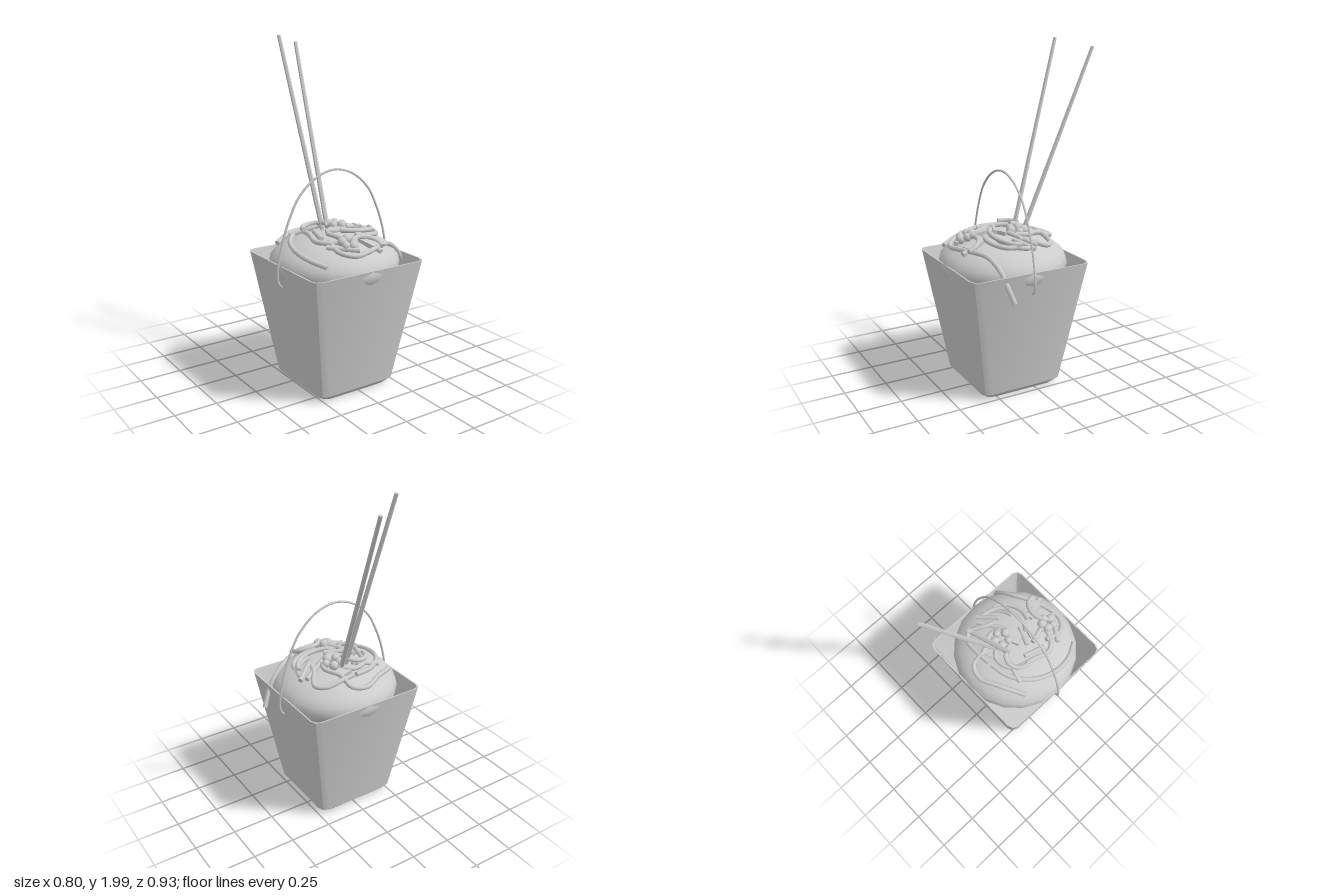
import * as THREE from 'three';
import { toCreasedNormals } from 'three/addons/utils/BufferGeometryUtils.js';

const CX = -0.015, CZ = 0.087; // centre of the carton
const DOME = { y: 0.74, r: 0.376, h: 0.17 };
const NOODLE = 0.0145;

const grey = new THREE.MeshStandardMaterial({ color: 0xcccccc });
grey.name = 'plain grey';

function add(parent, name, geometry) {
  const mesh = new THREE.Mesh(geometry, grey);
  mesh.name = name;
  parent.add(mesh);
  return mesh;
}

// Point lying a little above the food mound
function onMound(x, z, lift) {
  const d = Math.hypot(x - CX, z - CZ) / DOME.r;
  const y = DOME.y + DOME.h * Math.sqrt(Math.max(0, 1 - d * d));
  return new THREE.Vector3(x, y + lift, z);
}

// Square carton with rounded corners: outside up, over the rim, inside down
function cartonGeometry() {
  const rings = [ // y, half width, corner radius
    [0.008, 0.225, 0.05], [0.04, 0.256, 0.05], [0.77, 0.37, 0.045],
    [0.77, 0.362, 0.04], [0.045, 0.248, 0.042]];
  const n = 12, pos = [], idx = [];
  for (const [y, half, r] of rings) {
    for (let c = 0; c < 4; c++) for (let k = 0; k < 3; k++) {
      const q = c * Math.PI / 2, a = q + k * Math.PI / 4, m = (half - r) * Math.SQRT2;
      pos.push(CX + m * Math.cos(q + Math.PI / 4) + r * Math.cos(a), y,
        CZ + m * Math.sin(q + Math.PI / 4) + r * Math.sin(a));
    }
  }
  for (let i = 0; i < rings.length - 1; i++) for (let j = 0; j < n; j++) {
    const a = i * n + j, b = i * n + (j + 1) % n;
    idx.push(a, a + n, b, b, a + n, b + n);
  }
  const last = (rings.length - 1) * n;
  for (let j = 1; j < n - 1; j++) {
    idx.push(0, j, j + 1); // underside
    idx.push(last, last + j + 1, last + j); // inner floor
  }
  const g = new THREE.BufferGeometry();
  g.setAttribute('position', new THREE.Float32BufferAttribute(pos, 3));
  g.setIndex(idx);
  return toCreasedNormals(g, 0.5);
}

// Capped tube through points
function strand(parent, name, points, radius, sides = 8) {
  const group = new THREE.Group();
  group.name = name;
  const curve = new THREE.CatmullRomCurve3(points);
  add(group, name + 'Body', new THREE.TubeGeometry(curve, points.length * 4, radius, sides));
  for (const t of [0, 1]) {
    const cap = add(group, name + 'End', new THREE.CircleGeometry(radius, sides));
    const dir = curve.getTangent(t).multiplyScalar(t ? 1 : -1);
    cap.position.copy(curve.getPoint(t));
    cap.quaternion.setFromUnitVectors(new THREE.Vector3(0, 0, 1), dir);
  }
  parent.add(group);
}

function addNoodles(model) {
  // Curled noodles: centre x and z, radii in x and z, start and end in degrees, lift
  const curls = [
    [-0.03, 0.17, 0.28, 0.29, -90, -220, 0.01],
    [0.08, 0.07, 0.15, 0.13, 10, 135, 0.03],
    [0.09, 0.12, 0.14, 0.12, 5, 115, 0.02],
    [0.1, 0.05, 0.14, 0.13, 0, 85, 0.012],
    [-0.105, 0.03, 0.075, 0.08, 180, 360, 0.04],
    [0.03, 0.35, 0.09, 0.075, 200, 370, 0.03]];
  for (const [x, z, rx, rz, from, to, lift] of curls) {
    const pts = [];
    for (let i = 0; i <= 6; i++) {
      const a = THREE.MathUtils.degToRad(from + (to - from) * i / 6);
      pts.push(onMound(x + rx * Math.cos(a), z + rz * Math.sin(a), lift));
    }
    strand(model, 'curledNoodle', pts, NOODLE);
  }

  // Winding noodles
  const winding = [
    [[-0.29, -0.09], [-0.15, -0.17], [-0.03, -0.22], [0.05, -0.19], [0.06, -0.1], [0.11, 0], [0.09, 0.06]],
    [[-0.01, -0.125], [0.09, -0.13], [0.175, -0.12], [0.22, -0.07], [0.17, 0.02], [0.15, 0.07]],
    [[0.03, -0.03], [-0.03, -0.08], [-0.13, -0.05], [-0.18, 0.09], [-0.2, 0.18], [-0.17, 0.23], [-0.05, 0.28]]];
  for (const path of winding) {
    strand(model, 'windingNoodle', path.map(([x, z]) => onMound(x, z, 0.018)), NOODLE);
  }

  // Short straight noodles: x and z of both ends
  const short = [
    [-0.22, -0.07, -0.06, -0.03], [0.26, 0.025, 0.15, 0.11], [-0.09, 0.11, 0.02, 0.155],
    [-0.1, 0.145, -0.07, 0.24], [-0.165, 0.18, -0.13, 0.05], [0.23, 0, 0.06, 0.09],
    [0.09, 0.39, 0.04, 0.22], [-0.19, 0.265, -0.04, 0.37]];
  for (const [x0, z0, x1, z1] of short) {
    strand(model, 'shortNoodle', [onMound(x0, z0, 0.02), onMound(x1, z1, 0.02)], NOODLE);
  }

  // Long noodle that pokes out through the carton wall
  const long = [[-0.14, 0.22], [-0.15, 0.33], [-0.08, 0.39], [0, 0.385], [0.11, 0.345], [0.21, 0.295]]
    .map(([x, z]) => onMound(x, z, 0.014));
  long.push(new THREE.Vector3(0.3, 0.79, 0.265), new THREE.Vector3(0.35, 0.715, 0.25),
    new THREE.Vector3(0.39, 0.63, 0.228));
  strand(model, 'longNoodle', long, NOODLE);
}

export function createModel() {
  const model = new THREE.Group();
  model.name = 'noodleBox';
  add(model, 'carton', cartonGeometry());

  // Mound of food
  const mound = add(model, 'mound', new THREE.SphereGeometry(1, 20, 14));
  mound.scale.set(DOME.r, DOME.h, DOME.r);
  mound.position.set(CX, DOME.y, CZ);
  addNoodles(model);

  // Wire handle with hooked ends
  const half = [[0.33, 0.64], [0.36, 0.648], [0.378, 0.69], [0.368, 0.79], [0.34, 0.91],
    [0.295, 1.03], [0.235, 1.14], [0.125, 1.235]];
  const arc = [...half, [0, 1.27], ...half.slice().reverse().map(([x, y]) => [-x, y])];
  strand(model, 'handle', arc.map(([x, y]) => new THREE.Vector3(CX + x, y, CZ)), 0.0065, 6);

  // Chopsticks: upper end and buried end
  const sticks = [
    [[-0.122, 1.995, -0.322], [-0.036, 0.87, 0.012]],
    [[0.07, 1.95, -0.453], [0.014, 0.87, -0.018]]];
  for (const [top, base] of sticks) {
    const a = new THREE.Vector3(...top), b = new THREE.Vector3(...base);
    const g = new THREE.CylinderGeometry(0.011, 0.015, a.distanceTo(b), 6);
    const stick = add(model, 'chopstick', toCreasedNormals(g, 0.5));
    stick.position.copy(a).add(b).multiplyScalar(0.5);
    stick.quaternion.setFromUnitVectors(new THREE.Vector3(0, 1, 0), a.sub(b).normalize());
  }

  // Peas: a ring around the middle of each cluster
  for (const [cx, cz, count, spread] of [[0.04, 0.025, 5, 0.042], [-0.067, 0.3, 5, 0.035]]) {
    for (let i = 0; i < count; i++) {
      const a = i * Math.PI * 2 / count - 1.2;
      const pea = add(model, 'pea', new THREE.SphereGeometry(i % 2 ? 0.025 : 0.029, 8, 6));
      pea.position.copy(onMound(cx + spread * Math.cos(a), cz + spread * Math.sin(a), 0.025));
    }
  }

  // Flat vegetable chunks: x, z, width, depth, turn
  const chunks = [[0, 0.09, 0.09, 0.08, 0.4], [0.06, 0.3, 0.06, 0.13, 0.3],
    [-0.06, 0.21, 0.04, 0.1, -0.2], [0.03, -0.07, 0.08, 0.06, 0.2]];
  for (const [x, z, w, d, turn] of chunks) {
    const chunk = add(model, 'vegetableChunk', new THREE.BoxGeometry(w, 0.025, d));
    chunk.position.copy(onMound(x, z, 0.008));
    chunk.rotation.set((z - CZ) * 1.2, turn, -(x - CX) * 1.2);
  }
  return model;
}
